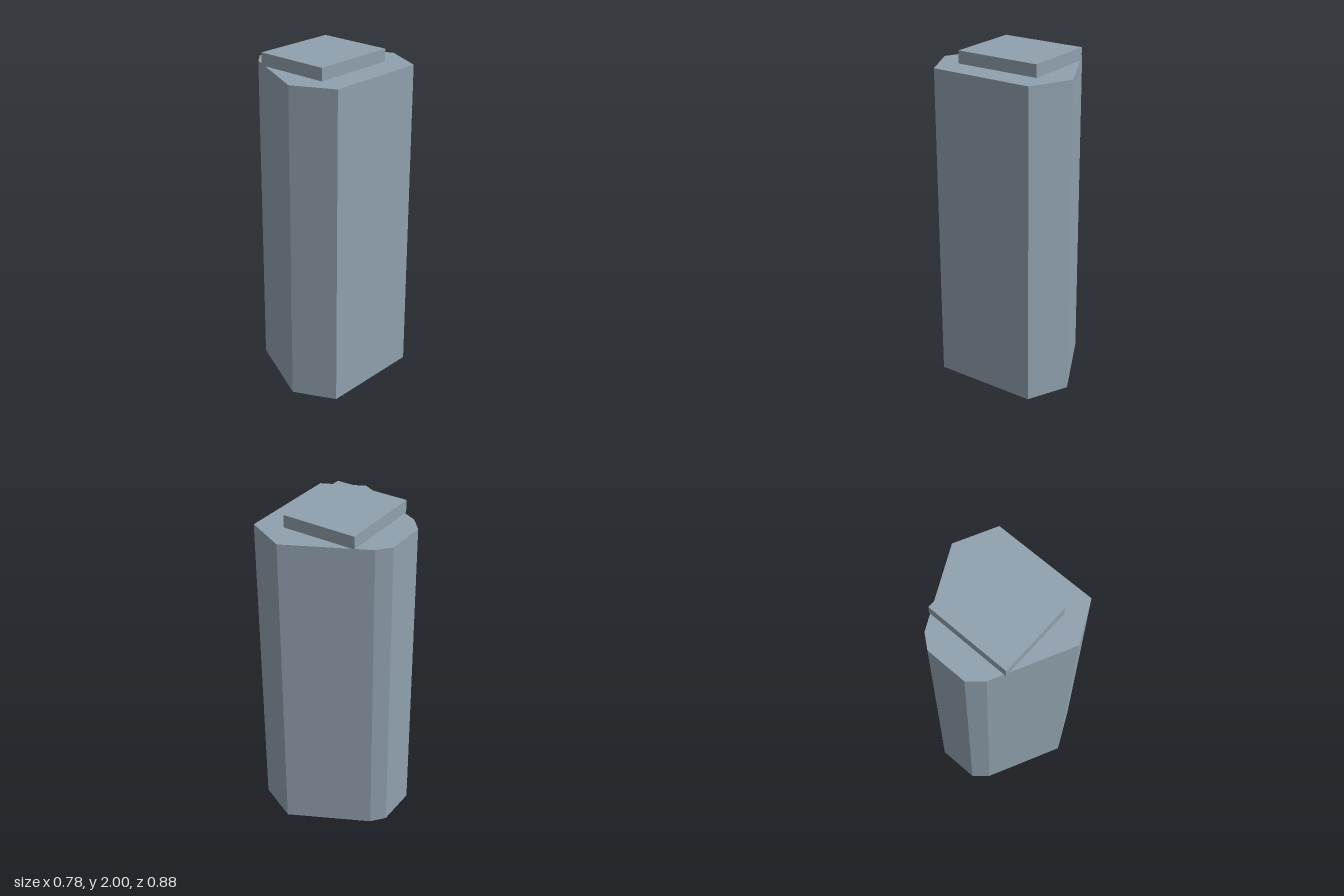
import * as THREE from 'three';

// Ground plan of the body as [x, z]
const PLAN = [
  [0.39, 0.32], [0.39, -0.32], [0.145, -0.44], [-0.325, -0.205],
  [-0.39, -0.125], [-0.39, 0.13], [-0.315, 0.215], [0.145, 0.44],
];
const BODY_TOP = 1.925;

// Upright walls around the plan, open at the bottom
function wallGeometry(plan, height) {
  const pos = [];
  plan.forEach(([x0, z0], i) => {
    const [x1, z1] = plan[(i + 1) % plan.length];
    pos.push(x0, 0, z0, x1, 0, z1, x1, height, z1);
    pos.push(x0, 0, z0, x1, height, z1, x0, height, z0);
  });
  const geo = new THREE.BufferGeometry();
  geo.setAttribute('position', new THREE.Float32BufferAttribute(pos, 3));
  geo.computeVertexNormals();
  return geo;
}

export function createModel() {
  const group = new THREE.Group();
  group.name = 'tower';
  const blueGrey = new THREE.MeshStandardMaterial({
    color: 0x8fa0ad, side: THREE.DoubleSide, flatShading: true,
  });
  blueGrey.name = 'blueGrey';

  const add = (name, geometry) => {
    const mesh = new THREE.Mesh(geometry, blueGrey);
    mesh.name = name;
    group.add(mesh);
    return mesh;
  };

  add('walls', wallGeometry(PLAN, BODY_TOP));

  // Flat roof over the same plan
  const outline = new THREE.Shape(PLAN.map(([x, z]) => new THREE.Vector2(x, -z)));
  add('roof', new THREE.ShapeGeometry(outline).rotateX(-Math.PI / 2)).position.y = BODY_TOP;

  // Low rooftop block, its corners reaching just past the slanted walls
  const blockHeight = 2 - BODY_TOP;
  add('rooftopBlock', new THREE.BoxGeometry(0.46, blockHeight, 0.53))
    .position.set(0, BODY_TOP + blockHeight / 2, 0.005);

  return group;
}
